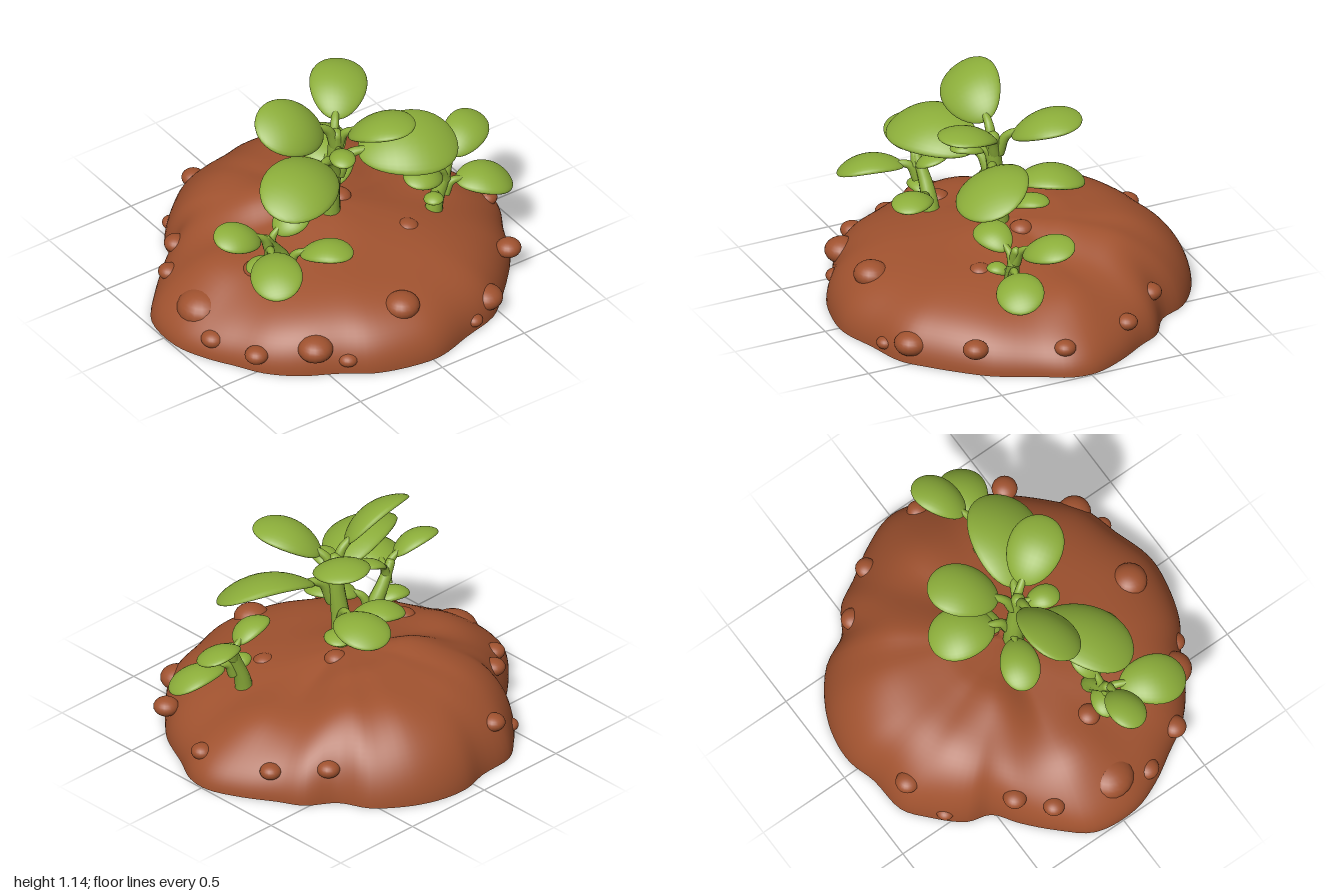
import * as THREE from 'three';
import { mergeVertices } from 'three/addons/utils/BufferGeometryUtils.js';

const soil = new THREE.MeshStandardMaterial({ name: 'soil brown', color: 0xa0522f });
const green = new THREE.MeshStandardMaterial({ name: 'leaf green', color: 0x8cae3a });
const V = (a) => new THREE.Vector3(...a);

function add(parent, name, geometry, material) {
  const mesh = new THREE.Mesh(geometry, material);
  mesh.name = name;
  parent.add(mesh);
  return mesh;
}

// Footprint of the mound (x, z), running from the +x side round the back
const outline = [
  [0.99, -0.03], [0.92, -0.2], [0.82, -0.36], [0.75, -0.48], [0.61, -0.58], [0.53, -0.73],
  [0.36, -0.86], [0.2, -0.92], [0.05, -0.93], [-0.1, -0.89], [-0.3, -0.87], [-0.42, -0.78],
  [-0.55, -0.64], [-0.59, -0.52], [-0.71, -0.43], [-0.85, -0.3], [-0.97, -0.15], [-0.99, 0.08],
  [-0.93, 0.25], [-0.84, 0.4], [-0.76, 0.53], [-0.63, 0.65], [-0.45, 0.75], [-0.3, 0.85],
  [-0.1, 0.91], [0.05, 0.92], [0.25, 0.86], [0.45, 0.8], [0.57, 0.7], [0.7, 0.57],
  [0.8, 0.45], [0.9, 0.25], [0.98, 0.1],
];

// Soft swellings on the mound: x, z, radius, height
const swellings = [
  [0.68, -0.08, 0.2, 0.05], [-0.68, -0.05, 0.22, 0.06], [0.22, -0.6, 0.18, 0.02],
  [-0.22, -0.57, 0.18, 0.02], [-0.3, -0.2, 0.15, 0.03], [0.42, -0.42, 0.14, 0.02],
  [0.3, 0.4, 0.2, 0.01], [-0.25, 0.5, 0.2, 0.01],
];

function soilHeight(x, z, t) {
  const r = Math.hypot(x, z);
  const inner = Math.min(1, r / 0.3);
  const back = THREE.MathUtils.smoothstep(-z / (r + 1e-6), 0.2, 0.85) * inner;
  const front = THREE.MathUtils.smoothstep(z / (r + 1e-6), 0.2, 0.9) * inner;
  const top = 0.33 + 0.09 * back - 0.015 * front;
  let h = top * Math.max(0, 1 - t ** (2.6 + 1.9 * back + 1.8 * front)) ** (0.5 + 0.08 * back);
  h += 0.08 * Math.exp(-((r / 0.33) ** 2)) * (1 - 0.4 * back);
  // shallow creases between the lobes at the back
  h *= 1 - 0.07 * back * t * t * Math.abs(Math.cos(3.5 * Math.atan2(z, x) + 0.4)) ** 10;
  for (const [sx, sz, sr, sh] of swellings)
    h += sh * Math.exp(-((x - sx) ** 2 + (z - sz) ** 2) / sr ** 2) * (1 - t ** 6);
  return t >= 1 ? 0 : h;
}

function buildMound(parent) {
  const curve = new THREE.CatmullRomCurve3(outline.map(([x, z]) => V([x, 0, z])), true);
  const N = 132, M = 30, pos = [], idx = [], rim = [];
  for (let j = 0; j < N; j++) {
    const p = curve.getPoint(j / N);
    rim.push(new THREE.Vector2(p.x, p.z));
    for (let i = 0; i <= M; i++) {
      const t = Math.sin((i / M) * Math.PI / 2);
      // the outline's wobble fades toward the middle
      const k = t * THREE.MathUtils.lerp(0.93 / p.length(), 1, t * t);
      const x = p.x * k, z = p.z * k;
      pos.push(x, soilHeight(x, z, t), z);
      if (i < M) {
        const a = j * (M + 1) + i, c = ((j + 1) % N) * (M + 1) + i;
        if (i > 0) idx.push(a, a + 1, c);
        idx.push(a + 1, c + 1, c);
      }
    }
  }
  let g = new THREE.BufferGeometry();
  g.setAttribute('position', new THREE.Float32BufferAttribute(pos, 3));
  g.setIndex(idx);
  g = mergeVertices(g, 1e-5);
  g.computeVertexNormals();
  add(parent, 'soilMound', g, soil);
  add(parent, 'moundBase', new THREE.ShapeGeometry(new THREE.Shape(rim)).rotateX(Math.PI / 2), soil);
}

// Clods pressed into the soil: x, y, z, radius
const clods = [
  [-0.05, 0.24, 0.72, 0.09], [-0.53, 0.13, 0.65, 0.09], [-0.4, 0.07, 0.75, 0.05],
  [0.74, 0.14, 0.52, 0.065], [0.45, 0.09, 0.74, 0.085], [0.32, 0.05, 0.82, 0.045],
  [-0.77, 0.09, 0.48, 0.06], [-0.87, 0.09, 0.24, 0.06], [-0.26, 0.2, -0.8, 0.06],
  [0.3, 0.36, -0.31, 0.07], [-0.64, 0.19, -0.41, 0.06], [-0.78, 0.16, -0.27, 0.055],
  [0.61, 0.17, -0.51, 0.06], [0.8, 0.14, -0.29, 0.055], [0.9, 0.13, 0.1, 0.055],
  [-0.53, 0.3, 0.12, 0.06], [0.29, 0.31, 0.28, 0.06], [0.1, 0.39, -0.04, 0.06],
  [-0.12, 0.38, -0.06, 0.06], [0.2, 0.08, -0.86, 0.045], [-0.46, 0.06, -0.71, 0.045],
  [-0.8, 0.14, 0.05, 0.13],
];

function buildClods(parent) {
  for (const [x, y, z, r] of clods) {
    const clod = add(parent, 'soilClod', new THREE.SphereGeometry(r, 20, 14), soil);
    clod.position.set(x, y, z);
    clod.scale.y = 0.72;
  }
}

// Tube through points, tapering from radius r0 to r1
function taperedTube(points, r0, r1) {
  const curve = new THREE.CatmullRomCurve3(points), n = 14, sides = 12;
  const g = new THREE.TubeGeometry(curve, n, 1, sides, false);
  const p = g.attributes.position, v = new THREE.Vector3();
  for (let i = 0; i < p.count; i++) {
    const u = Math.floor(i / (sides + 1)) / n, c = curve.getPointAt(u);
    v.fromBufferAttribute(p, i).sub(c).multiplyScalar(THREE.MathUtils.lerp(r0, r1, u)).add(c);
    p.setXYZ(i, v.x, v.y, v.z);
  }
  return g;
}

// Thick obovate blade: arched along its length, edges curling down
function bladeGeometry(start, tip, width, up) {
  const dir = tip.clone().sub(start), len = dir.length();
  dir.normalize();
  const side = dir.clone().cross(up).normalize(), normal = side.clone().cross(dir);
  let g = new THREE.SphereGeometry(1, 28, 18);
  g.deleteAttribute('uv');
  g.deleteAttribute('normal');
  g = mergeVertices(g, 1e-4);
  const p = g.attributes.position, thick = 0.016 + width * 0.035;
  for (let i = 0; i < p.count; i++) {
    const x = p.getX(i), y = p.getY(i), z = p.getZ(i);
    const across = x * (1 + 0.12 * y) * width / 2;
    const body = Math.sign(z) * Math.abs(z) ** 0.8 * thick;
    const lift = body + len * 0.15 * (1 - y * y) - 0.1 * width * x * x;
    p.setXYZ(i, across, (y + 1) / 2 * len, lift);
  }
  g.applyMatrix4(new THREE.Matrix4().makeBasis(side, dir, normal).setPosition(start));
  g.computeVertexNormals();
  return g;
}

function buildPlant(parent, name, stem, r0, r1, leaves) {
  const plant = new THREE.Group();
  plant.name = name;
  parent.add(plant);
  add(plant, 'stem', taperedTube(stem.map(V), r0, r1), green);
  const tipBall = add(plant, 'stemTip', new THREE.SphereGeometry(r1 * 1.02, 12, 8), green);
  tipBall.position.set(...stem.at(-1));
  for (const [base, tipPoint, width, up = [0, 1, 0]] of leaves) {
    const root = V(base), tip = V(tipPoint), start = root.clone().lerp(tip, 0.13);
    const low = root.clone().lerp(tip, -0.04);
    low.y -= width * 0.3;
    const inside = root.clone().lerp(tip, 0.26);
    inside.y += 0.02;
    const thin = 0.012 + width * 0.025;
    add(plant, 'leafStalk', taperedTube([low, root.clone().lerp(tip, 0.06), inside], thin * 1.6, thin * 0.8), green);
    add(plant, 'leaf', bladeGeometry(start, tip, width, V(up)), green);
  }
}

export function createModel() {
  const model = new THREE.Group();
  model.name = 'seedlingsInSoil';
  buildMound(model);
  buildClods(model);

  // Each leaf: root, tip, width, direction the blade faces
  buildPlant(model, 'middlePlant',
    [[-0.01, 0.3, 0.03], [-0.01, 0.55, 0.04], [0, 0.72, 0.06], [0, 0.88, 0.07]], 0.058, 0.036, [
      [[-0.02, 0.92, 0.07], [-0.46, 1.08, 0.03], 0.32, [0.1, 0.82, 0.55]],
      [[0.02, 0.89, 0.03], [0.28, 1.02, -0.29], 0.29, [0, 1, 0.15]],
      [[0.02, 0.89, 0.08], [0.23, 1.03, 0.42], 0.28],
      [[0.03, 0.76, 0.09], [0.57, 0.75, 0.32], 0.39, [0, 0.9, 0.38]],
      [[-0.03, 0.77, 0.09], [-0.57, 0.78, 0.35], 0.37, [0, 0.92, 0.32]],
      [[0.02, 0.63, 0.0], [0.15, 0.61, -0.37], 0.28, [0, 1, -0.1]],
      [[-0.01, 0.52, 0.03], [-0.31, 0.53, -0.11], 0.2],
      [[0.02, 0.5, 0.02], [0.19, 0.55, -0.15], 0.15],
      [[0, 0.81, 0.09], [-0.08, 0.83, 0.27], 0.13],
    ]);
  buildPlant(model, 'rightPlant',
    [[-0.39, 0.22, 0.22], [-0.42, 0.37, 0.22], [-0.48, 0.47, 0.22], [-0.54, 0.56, 0.23]], 0.054, 0.024, [
      [[-0.54, 0.57, 0.24], [-0.83, 0.65, 0.2], 0.2, [0, 0.92, 0.3]],
      [[-0.53, 0.52, 0.25], [-0.7, 0.47, 0.6], 0.26, [-0.15, 1, 0]],
      [[-0.5, 0.55, 0.22], [-0.29, 0.64, 0.22], 0.18, [0, 0.95, 0.25]],
      [[-0.43, 0.38, 0.22], [-0.63, 0.38, 0.2], 0.13],
      [[-0.39, 0.42, 0.25], [-0.18, 0.46, 0.48], 0.2],
    ]);
  buildPlant(model, 'leftPlant',
    [[0.49, 0.22, 0.21], [0.51, 0.34, 0.21], [0.55, 0.46, 0.22], [0.58, 0.55, 0.22]], 0.052, 0.024, [
      [[0.58, 0.55, 0.21], [0.88, 0.64, 0.05], 0.22, [0, 0.92, 0.35]],
      [[0.57, 0.45, 0.23], [0.9, 0.37, 0.32], 0.24, [0.2, 0.95, 0.25]],
      [[0.55, 0.52, 0.23], [0.29, 0.58, 0.28], 0.18, [0, 0.95, 0.25]],
      [[0.52, 0.39, 0.22], [0.42, 0.41, 0.3], 0.1],
    ]);
  return model;
}
